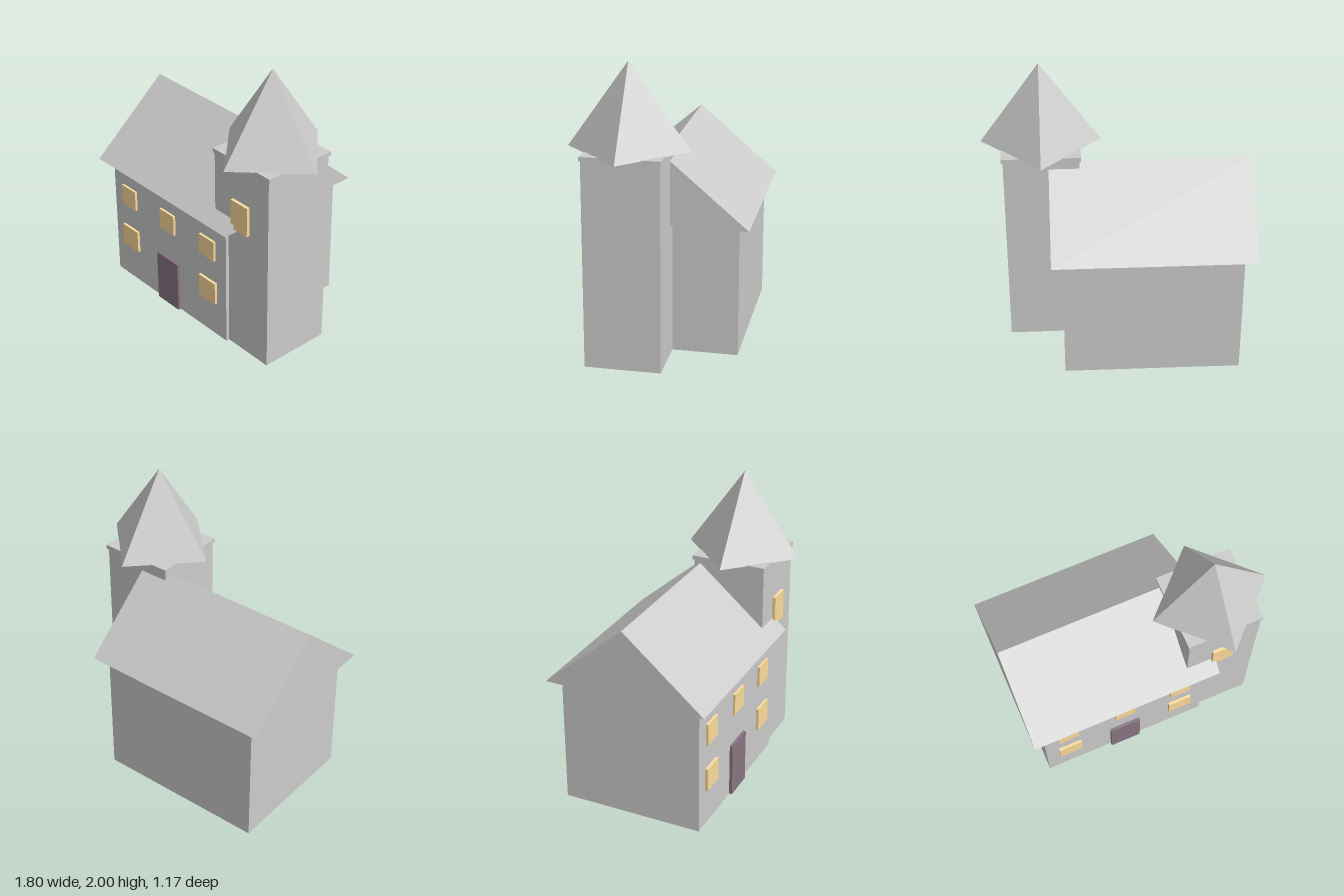
import * as THREE from 'three';

export function createModel() {
  const house = new THREE.Group();
  house.name = 'towerHouse';
  const mat = (color) => new THREE.MeshStandardMaterial({ color, flatShading: true });
  const grey = mat(0xcccccc);
  const glow = mat(0xfcdc9c);
  const wood = mat(0x877581);

  const add = (name, geometry, material = grey) => {
    const mesh = new THREE.Mesh(geometry, material);
    mesh.name = name;
    house.add(mesh);
    return mesh;
  };
  // Box given by its extents on each axis
  const block = (name, [x0, x1], [y0, y1], [z0, z1], material) =>
    add(name, new THREE.BoxGeometry(x1 - x0, y1 - y0, z1 - z0), material)
      .position.set((x0 + x1) / 2, (y0 + y1) / 2, (z0 + z1) / 2);

  // Main hall and its cornice
  block('hallWalls', [-0.825, 0.37], [0, 0.875], [-0.515, 0.465]);
  block('hallCornice', [-0.835, 0.38], [0.875, 0.905], [-0.522, 0.472]);

  // Gable roof: triangle in the z-y plane, extruded along x
  const gable = new THREE.Shape([
    new THREE.Vector2(-0.535, 0.905),
    new THREE.Vector2(0.588, 0.905),
    new THREE.Vector2(0.027, 1.385),
  ]);
  const roof = new THREE.ExtrudeGeometry(gable, { depth: 1.35, bevelEnabled: false });
  roof.rotateY(Math.PI / 2);
  add('hallRoof', roof).position.x = -0.905;

  // Corner tower, cap and spire turned so its corners point along the axes
  block('towerWalls', [0.24, 0.745], [0, 1.405], [-0.07, 0.44]);
  block('towerCap', [0.23, 0.757], [1.405, 1.435], [-0.08, 0.447]);
  add('towerSpire', new THREE.ConeGeometry(0.403, 0.57, 4)).position.set(0.494, 1.715, 0.184);

  // Door and windows
  block('door', [-0.34, -0.118], [0, 0.377], [0.44, 0.486], wood);
  for (const x of [-0.65, -0.227, 0.19])
    block('upperWindow', [x - 0.075, x + 0.075], [0.6, 0.752], [0.44, 0.482], glow);
  for (const x of [-0.648, 0.193])
    block('lowerWindow', [x - 0.083, x + 0.083], [0.26, 0.424], [0.44, 0.484], glow);
  block('towerWindow', [0.416, 0.57], [0.935, 1.146], [0.42, 0.462], glow);

  return house;
}
